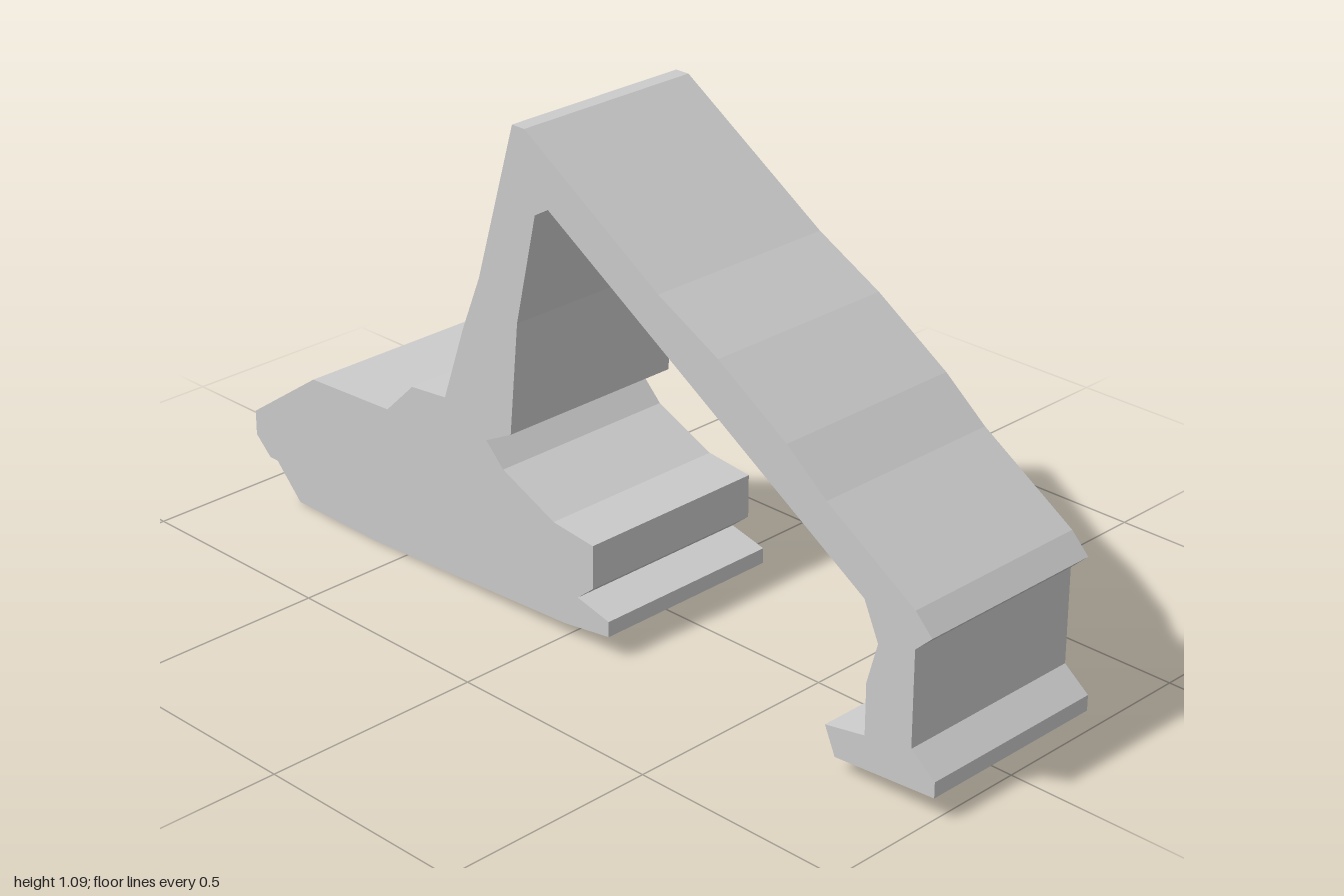
import * as THREE from 'three';

const DEPTH = 0.458;

// Outline sections, running counter-clockwise around the side profile
const baseUnderside = [[-0.93, 0.08], [-0.855, 0.003], [-0.6, 0], [0, 0.03], [0.13, 0.048]];
const baseNose = [[0.13, 0.083], [0.04, 0.105], [0.085, 0.142], [0.085, 0.24], [-0.03, 0.253], [-0.18, 0.32], [-0.23, 0.37]];
const boomInside = [[-0.155, 0.408], [-0.13, 0.665], [-0.073, 0.915], [-0.035, 0.937], [0.813, 0.4]];
const foot = [
  [0.85, 0.318], [0.824, 0.225], [0.824, 0.11], [0.723, 0.092], [0.75, 0.031],
  [1, 0.048], [1, 0.083], [0.94, 0.13], [0.94, 0.342], [0.98, 0.38],
];
const boomOutside = [
  [0.938, 0.423], [0.713, 0.567], [0.61, 0.65], [0.43, 0.766], [0.27, 0.85],
  [-0.1, 1.089], [-0.135, 1.089], [-0.242, 0.73], [-0.295, 0.6], [-0.356, 0.426],
];
const baseBack = [[-0.46, 0.416], [-0.543, 0.336], [-0.79, 0.325], [-1, 0.18], [-1, 0.122], [-0.955, 0.08]];

export function createModel() {
  const group = new THREE.Group();
  group.name = 'boomMachine';

  // Base, bent boom and foot form one solid of constant width
  const outline = [baseUnderside, baseNose, boomInside, foot, boomOutside, baseBack].flat();
  const shape = new THREE.Shape(outline.map(([x, y]) => new THREE.Vector2(x, y)));
  const geometry = new THREE.ExtrudeGeometry(shape, { depth: DEPTH, bevelEnabled: false });
  geometry.translate(0, 0, -DEPTH / 2);

  const body = new THREE.Mesh(
    geometry,
    new THREE.MeshStandardMaterial({ color: 0xcccccc, flatShading: true }),
  );
  body.name = 'baseBoomAndFoot';
  group.add(body);
  return group;
}
